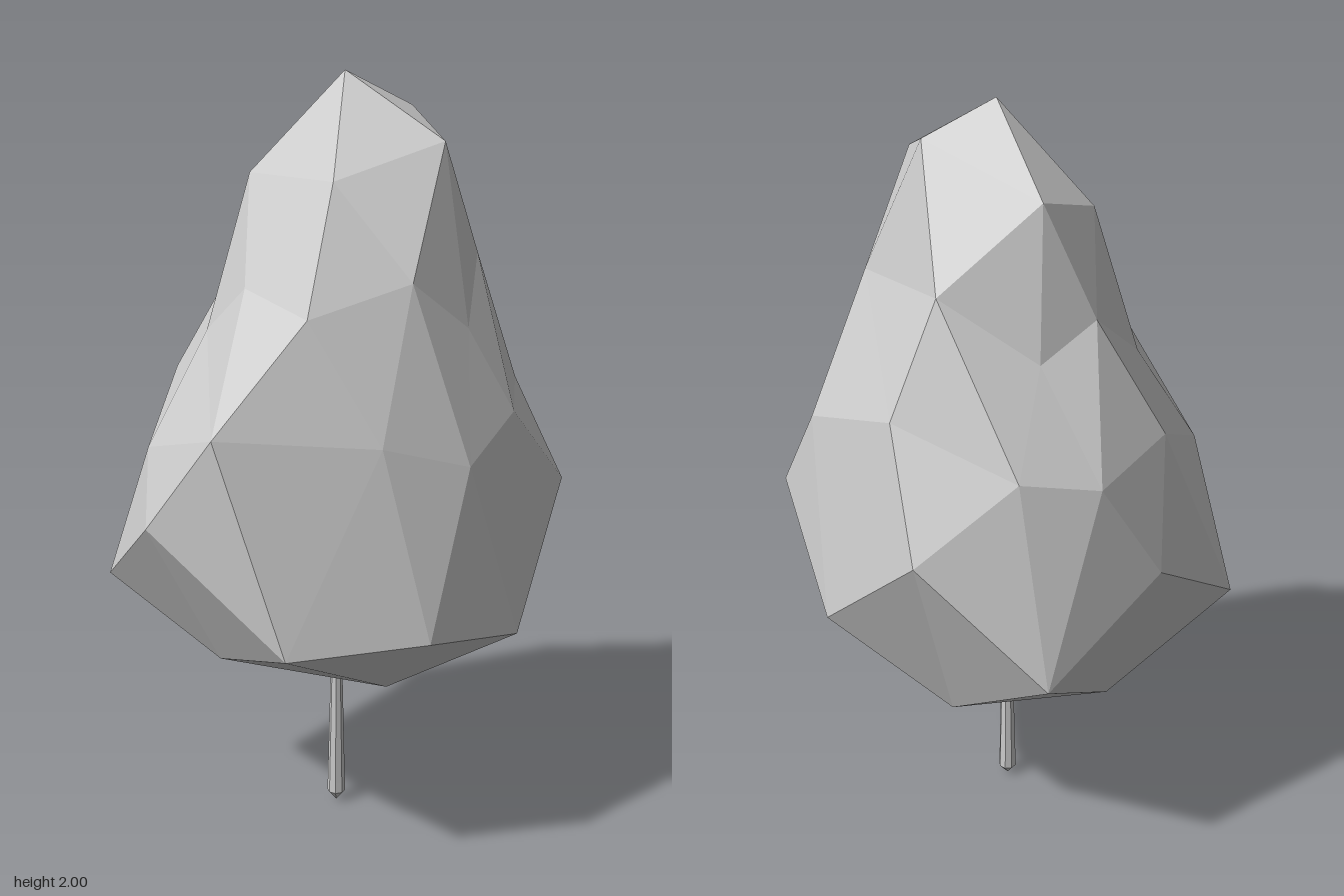
import * as THREE from 'three';
import { ConvexGeometry } from 'three/addons/geometries/ConvexGeometry.js';

const material = () => new THREE.MeshStandardMaterial({ color: 0xcccccc, flatShading: true });

// Uneven rings of the crown, top to bottom: [x, y, z]
const rings = [
  // tip
  [[0.04, 2, 0.02], [0.21, 1.91, 0.08], [0.155, 1.84, 0.26], [-0.09, 1.75, 0.13],
    [-0.14, 1.75, -0.135], [0.045, 1.81, -0.21]],
  // neck
  [[0.29, 1.6, -0.14], [0.3, 1.55, 0.235], [0.17, 1.39, 0.34], [0, 1.52, 0.32], [-0.25, 1.45, 0.225],
    [-0.255, 1.49, -0.01], [-0.26, 1.36, -0.165], [-0.07, 1.52, -0.27], [0.09, 1.44, -0.28]],
  // belly
  [[0.42, 1.31, -0.14], [0.475, 1.19, 0.215], [0.5, 0.94, 0.375], [0.28, 1.17, 0.4], [0.07, 1.08, 0.46],
    [-0.15, 1.15, 0.385], [-0.5, 1.19, 0.175], [-0.545, 0.92, -0.045], [-0.44, 1.08, -0.18],
    [-0.22, 1.22, -0.36], [0.02, 1.17, -0.455], [0.215, 1.21, -0.4], [0.45, 1, -0.305]],
  // widest ring
  [[0.54, 0.7, 0.035], [0.21, 0.615, 0.505], [-0.095, 0.67, 0.505], [-0.41, 0.655, 0.335],
    [-0.46, 0.69, -0.355], [-0.15, 0.9, -0.47], [0.195, 0.68, -0.51]],
  // underside
  [[0.28, 0.48, 0.225], [-0.08, 0.49, 0.33], [-0.315, 0.5, -0.06], [-0.11, 0.445, -0.3],
    [0.28, 0.445, -0.16], [0.02, 0.4, 0.02]],
];

// Wrap the points as a faceted ball, then push each corner out to its own place
function facetedSkin(points) {
  const dirs = points.map((p) => new THREE.Vector3(p.x, (p.y - 1) * 0.7, p.z).normalize());
  const geometry = new ConvexGeometry(dirs);
  const pos = geometry.attributes.position;
  const v = new THREE.Vector3();
  for (let i = 0; i < pos.count; i++) {
    v.fromBufferAttribute(pos, i);
    let best = 0;
    dirs.forEach((d, j) => { if (d.dot(v) > dirs[best].dot(v)) best = j; });
    pos.setXYZ(i, points[best].x, points[best].y, points[best].z);
  }
  geometry.computeVertexNormals();
  return geometry;
}

export function createModel() {
  const tree = new THREE.Group();
  tree.name = 'tree';

  // Foliage
  const points = rings.flat().map((p) => new THREE.Vector3(...p));
  const crown = new THREE.Mesh(facetedSkin(points), material());
  crown.name = 'crown';
  tree.add(crown);

  // Thin trunk with a pointed foot
  const profile = [[0, 0], [0.025, 0.03], [0.024, 0.06], [0.015, 0.45], [0, 0.45]]
    .map(([r, y]) => new THREE.Vector2(r, y));
  const trunk = new THREE.Mesh(new THREE.LatheGeometry(profile, 8), material());
  trunk.name = 'trunk';
  trunk.position.set(0.015, 0, 0.022);
  tree.add(trunk);

  return tree;
}
